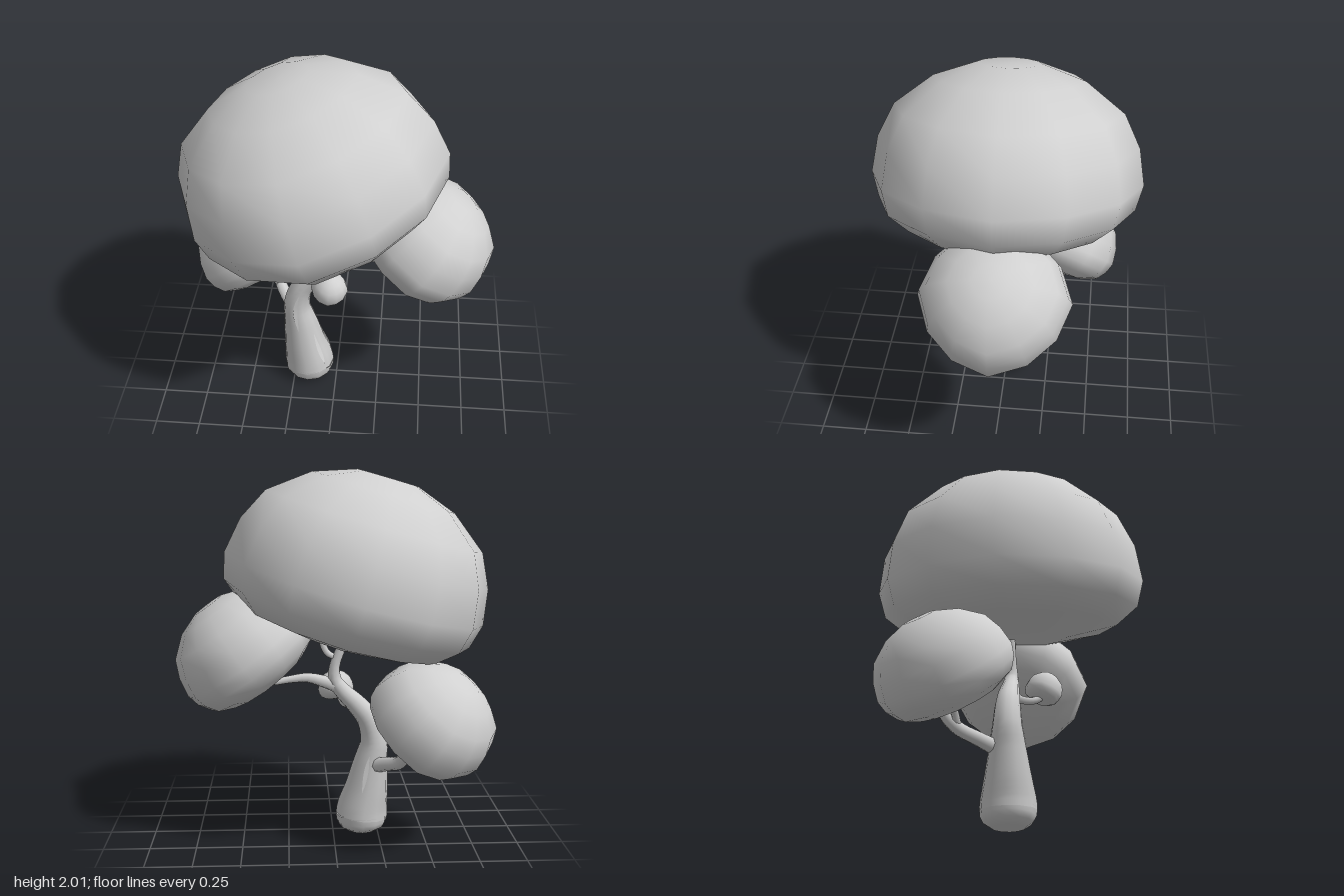
import * as THREE from 'three';

const V = (x, y, z = 0) => new THREE.Vector3(x, y, z);

// Half outlines of the puffy crowns: a shared dome over a flat or a fuller underside
const DOME = [[0.7, 0.17], [0.61, 0.35], [0.4, 0.51], [0.17, 0.59], [0, 0.592]];
const BIG_CROWN = [[0, -0.33], [0.3, -0.325], [0.58, -0.27], [0.7, -0.17], [0.735, -0.03], ...DOME];
const SMALL_CROWN = [[0, -0.385], [0.25, -0.38], [0.46, -0.35], [0.63, -0.27], [0.71, -0.15], [0.74, -0.02], ...DOME];

// Rounded foot of the trunk
const FOOT = [[0, 0], [0.085, 0.002], [0.125, 0.028], [0.142, 0.06], [0.146, 0.1]];

// Each entry is [x, y, z, radius]
const TRUNK = [[-0.163, 0.09, 0, 0.146], [-0.168, 0.14, 0, 0.144], [-0.19, 0.25, 0, 0.122],
  [-0.213, 0.4, 0, 0.095], [-0.23, 0.52, 0, 0.075], [-0.2, 0.64, 0, 0.065], [-0.13, 0.73, 0, 0.056],
  [-0.05, 0.81, 0, 0.045], [-0.01, 0.87, 0, 0.038], [-0.01, 0.95, 0, 0.029], [-0.045, 1.05, 0, 0.026],
  [-0.09, 1.2, 0, 0.02]];

const BRANCHES = {
  rightwardBranch: [[-0.03, 0.83, 0, 0.038], [0.05, 0.86, 0, 0.034], [0.14, 0.882, 0, 0.027],
    [0.24, 0.873, 0, 0.021], [0.34, 0.862, 0, 0.018], [0.43, 0.92, 0, 0.015]],
  hookedTwig: [[-0.03, 0.99, 0, 0.016], [0.03, 1.02, 0, 0.018], [0.06, 1.09, 0, 0.018], [0.07, 1.21, 0, 0.014]],
  backBranch: [[-0.21, 0.38, -0.02, 0.046], [-0.29, 0.42, -0.13, 0.038], [-0.35, 0.46, -0.23, 0.036],
    [-0.38, 0.52, -0.29, 0.034], [-0.4, 0.6, -0.33, 0.026]],
  backTwig: [[-0.35, 0.46, -0.23, 0.02], [-0.41, 0.52, -0.24, 0.02], [-0.48, 0.57, -0.25, 0.016]],
  frontTwig: [[-0.1, 0.75, 0, 0.025], [-0.08, 0.715, 0.06, 0.022], [-0.06, 0.715, 0.13, 0.02], [-0.03, 0.77, 0.19, 0.018]],
};

const curveOf = (pts) => new THREE.CatmullRomCurve3(pts.map((p) => V(p[0], p[1], p[2])));
const turned = (profile) => new THREE.LatheGeometry(profile.map(([r, y]) => new THREE.Vector2(r, y)), 12);

// Crown turned from a profile, slightly squeezed along its diagonals
function crownGeometry(profile) {
  const geo = turned(profile);
  const pos = geo.attributes.position;
  for (let i = 0; i < pos.count; i++) {
    const x = pos.getX(i), z = pos.getZ(i);
    const s = 1 - 0.06 * Math.sin(2 * Math.atan2(z, x)) ** 2;
    pos.setXYZ(i, x * s, pos.getY(i), z * s);
  }
  return geo;
}

// Radius interpolated between the points of a limb
function radiusAt(pts, t) {
  const f = t * (pts.length - 1);
  const i = Math.min(Math.floor(f), pts.length - 2);
  return THREE.MathUtils.lerp(pts[i][3], pts[i + 1][3], f - i);
}

// Tube whose rings are scaled to the limb radius, closed to a point at the tip
function limb(pts, rings, sides) {
  const curve = curveOf(pts);
  const geo = new THREE.TubeGeometry(curve, rings, 1, sides, false);
  const pos = geo.attributes.position;
  const v = V(0, 0);
  for (let i = 0; i <= rings; i++) {
    const u = i / rings;
    const c = curve.getPointAt(u);
    const r = i === rings ? 0 : radiusAt(pts, curve.getUtoTmapping(u));
    for (let j = 0; j <= sides; j++) {
      const k = i * (sides + 1) + j;
      v.fromBufferAttribute(pos, k).sub(c).multiplyScalar(r).add(c);
      pos.setXYZ(k, v.x, v.y, v.z);
    }
  }
  return geo;
}

// Leaf-shaped bark split lying on the trunk, from one trunk point index to another
function split(from, to, angle, halfWidth) {
  const curve = curveOf(TRUNK);
  const steps = 10, pos = [], index = [];
  for (let k = 0; k <= steps; k++) {
    const t = THREE.MathUtils.lerp(from, to, k / steps) / (TRUNK.length - 1);
    const c = curve.getPoint(t);
    const r = radiusAt(TRUNK, t);
    const w = halfWidth * Math.sin((Math.PI * k) / steps) / r;
    for (const a of [angle - w, angle + w]) {
      pos.push(c.x + (r + 0.004) * Math.cos(a), c.y, c.z + (r + 0.004) * Math.sin(a));
    }
    if (k < steps) {
      const b = k * 2;
      index.push(b, b + 2, b + 1, b + 1, b + 2, b + 3);
    }
  }
  const geo = new THREE.BufferGeometry();
  geo.setAttribute('position', new THREE.Float32BufferAttribute(pos, 3));
  geo.setIndex(index);
  geo.computeVertexNormals();
  return geo;
}

export function createModel() {
  const model = new THREE.Group();
  model.name = 'tree';
  const clay = new THREE.MeshStandardMaterial({ color: 0xd0d0d0, side: THREE.DoubleSide });
  clay.name = 'light grey';

  const add = (name, geo) => {
    const mesh = new THREE.Mesh(geo, clay);
    mesh.name = name;
    model.add(mesh);
    return mesh;
  };

  // Trunk with its rounded foot
  add('trunk', limb(TRUNK, 36, 12));
  add('trunkFoot', turned(FOOT)).position.x = -0.163;

  // Branches and twigs
  for (const [name, pts] of Object.entries(BRANCHES)) add(name, limb(pts, 14, 8));

  // Bark splits around the trunk
  const splits = [[2.9, 4.9, 1.6], [1, 2.7, 0.75], [2, 4.1, 0], [2, 3.4, -1.3]];
  for (const [from, to, angle] of splits) add('barkSplit', split(from, to, angle, 0.012));

  // Crowns: name, geometry, base centre, growing direction, width scale, height scale
  const big = crownGeometry(BIG_CROWN);
  const small = crownGeometry(SMALL_CROWN);
  const crowns = [
    ['mainCrown', big, V(-0.13, 1.4), V(-0.28, 0.96), 1, 1],
    ['rightCrown', small, V(0.48, 1.025), V(0.59, 0.81), 0.54, 0.56],
    ['backCrown', small, V(-0.512, 0.705, -0.285), V(-0.55, 0.75, -0.35), 0.49, 0.49],
    ['littleCrown', small, V(-0.025, 0.785, 0.175), V(0.1, 0.93, 0.3), 0.138, 0.168],
  ];
  for (const [name, geo, centre, axis, width, height] of crowns) {
    const crown = add(name, geo);
    crown.position.copy(centre);
    crown.quaternion.setFromUnitVectors(V(0, 1), axis.normalize());
    crown.scale.set(width, height, width);
  }
  return model;
}
